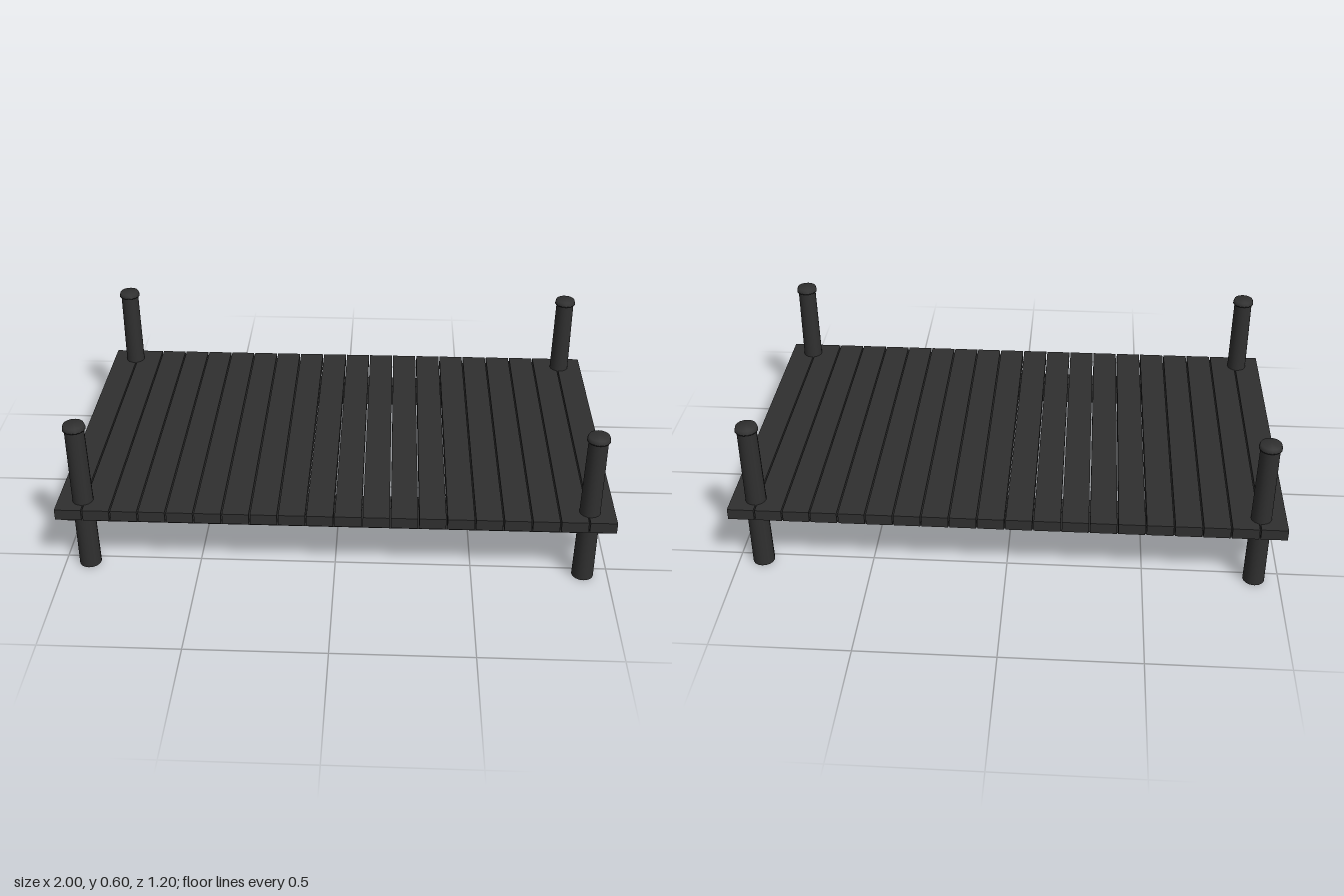
import * as THREE from 'three';

export function createModel() {
  const model = new THREE.Group();
  model.name = 'dock';
  const wood = new THREE.MeshStandardMaterial({ color: 0x303030 });
  wood.name = 'dark wood';

  const add = (name, geometry, x, y, z) => {
    const mesh = new THREE.Mesh(geometry, wood);
    mesh.name = name;
    mesh.position.set(x, y, z);
    model.add(mesh);
  };

  // Deck: a row of planks with narrow gaps
  const count = 20, pitch = 2 / count, gap = 0.005;
  const plankWidth = (2 - gap * (count - 1)) / count;
  const plank = new THREE.BoxGeometry(plankWidth, 0.042, 1.2);
  for (let i = 0; i < count; i++) {
    const x = -1 + plankWidth / 2 + i * (plankWidth + gap);
    add('plank', plank, x, 0.258, 0);
  }

  // Two beams carrying the planks
  const beam = new THREE.BoxGeometry(2, 0.09, 0.075);
  for (const side of [-1, 1]) add('beam', beam, 0, 0.193, side * 0.444);

  // Four tapered posts with low domed caps
  const post = new THREE.CylinderGeometry(0.035, 0.04, 0.585, 16);
  const cap = new THREE.LatheGeometry([
    [0, 0], [0.041, 0], [0.041, 0.004], [0.037, 0.018], [0, 0.02],
  ].map(([r, y]) => new THREE.Vector2(r, y)), 16);
  for (const x of [-0.91, 0.91]) {
    for (const z of [-0.53, 0.53]) {
      add('post', post, x, 0.2925, z);
      add('postCap', cap, x, 0.58, z);
    }
  }
  return model;
}
